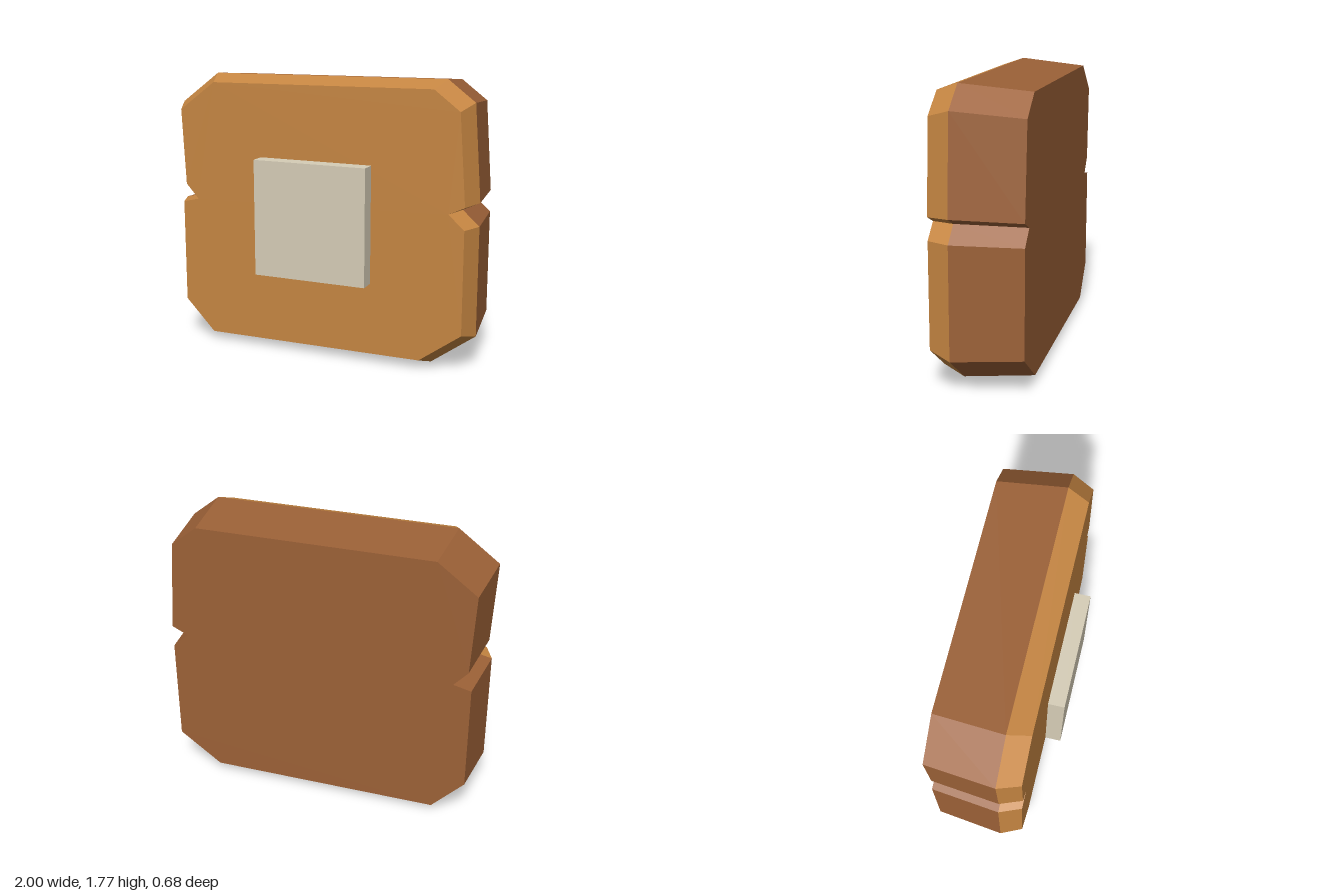
import * as THREE from 'three';

// Widest outline of the slab, counter-clockwise, with a crack on each side
const outline = [
  [-0.79, 0], [0.72, 0.012], [1, 0.217], [1, 0.905], [0.895, 1], [1, 1.05], [0.955, 1.64],
  [0.785, 1.77], [-0.745, 1.753], [-1, 1.56], [-0.975, 1.047], [-0.885, 0.948], [-1, 0.92], [-1, 0.217],
];
const CENTER_Y = 0.905;

// Outline scaled about the slab centre and placed at depth z
const ring = (scale, z) => outline.map(([x, y]) =>
  new THREE.Vector3(x * scale, CENTER_Y + (y - CENTER_Y) * scale, z));

function facesGeometry(triangles) {
  const g = new THREE.BufferGeometry().setFromPoints(triangles);
  g.computeVertexNormals();
  return g;
}

// Band of faces from a rear ring to a front ring
function band(rear, front) {
  const out = [];
  rear.forEach((a, i) => {
    const j = (i + 1) % rear.length;
    out.push(a, rear[j], front[j], a, front[j], front[i]);
  });
  return out;
}

// Flat cap over a ring, facing +z or -z
function cap(points, facesFront) {
  const flat = points.map((p) => new THREE.Vector2(p.x, p.y));
  return THREE.ShapeUtils.triangulateShape(flat, []).flatMap(([a, b, c]) =>
    (facesFront ? [a, b, c] : [a, c, b]).map((i) => points[i]));
}

export function createModel() {
  const model = new THREE.Group();
  model.name = 'woodenSign';

  const material = (name, color) => {
    const m = new THREE.MeshStandardMaterial({ color });
    m.name = name;
    return m;
  };
  const lightWood = material('lightWood', 0xc68642);
  const darkWood = material('darkWood', 0x9c6137);
  const paper = material('paper', 0xd6cdb7);

  const add = (name, geometry, mat) => {
    const mesh = new THREE.Mesh(geometry, mat);
    mesh.name = name;
    model.add(mesh);
    return mesh;
  };

  const back = ring(0.955, -0.34);
  const middle = ring(1, 0.085);
  const front = ring(0.945, 0.22);

  // Dark tapered body with its back face
  add('slabBody', facesGeometry([...band(back, middle), ...cap(back, false)]), darkWood);
  // Light bevelled front
  add('slabFront', facesGeometry([...band(middle, front), ...cap(front, true)]), lightWood);
  // Square plate floating just ahead of the slab
  add('plate', new THREE.BoxGeometry(0.735, 0.735, 0.1), paper).position.set(0, 0.887, 0.29);

  return model;
}
